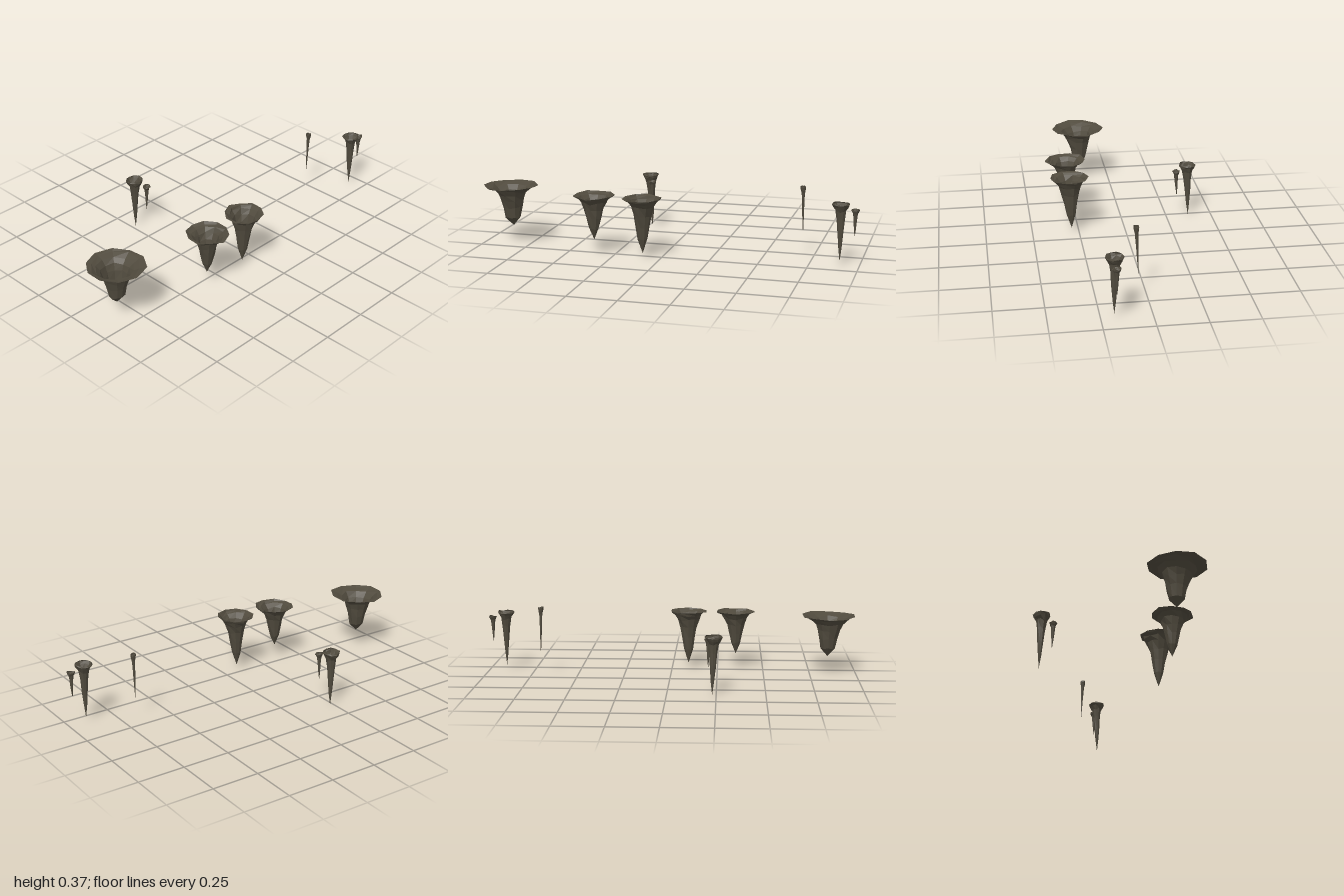
import * as THREE from 'three';

// Each profile: [fraction of height above the tip, fraction of rim radius]
const WIDE = [[0, 0], [0.2, 0.27], [0.45, 0.33], [0.65, 0.41], [0.8, 0.5], [0.91, 0.64], [0.97, 0.82], [1, 1]];
const MEDIUM = [[0, 0], [0.26, 0.24], [0.5, 0.35], [0.7, 0.45], [0.85, 0.58], [0.94, 0.75], [0.975, 0.88], [1, 1]];
const SLIM = [[0, 0], [0.25, 0.2], [0.5, 0.34], [0.72, 0.46], [0.87, 0.6], [0.94, 0.85], [0.98, 1], [1, 0.92]];

// Rim centre, rim radius, top height, tip position
const SPIKES = [
  { name: 'broadStalactite', profile: WIDE, rim: [-0.85, 0.175], r: 0.15, top: 0.32, tip: [-0.845, 0.1, 0.17] },
  { name: 'middleStalactite', profile: MEDIUM, rim: [-0.35, 0.295], r: 0.108, top: 0.32, tip: [-0.35, 0.085, 0.29] },
  { name: 'centreStalactite', profile: MEDIUM, rim: [-0.09, 0.297], r: 0.103, top: 0.32, tip: [-0.09, 0.03, 0.289] },
  { name: 'rearStalactite', profile: SLIM, rim: [-0.235, -0.363], r: 0.046, top: 0.305, tip: [-0.23, 0.003, -0.372] },
  { name: 'rearSmallStalactite', profile: SLIM, rim: [-0.208, -0.298], r: 0.021, top: 0.278, tip: [-0.208, 0.13, -0.303] },
  { name: 'needleStalactite', profile: SLIM, rim: [0.692, 0.053], r: 0.0145, top: 0.373, tip: [0.695, 0.12, 0.043] },
  { name: 'leftStalactite', profile: SLIM, rim: [0.903, 0.184], r: 0.045, top: 0.33, tip: [0.905, 0.03, 0.187] },
  { name: 'leftSmallStalactite', profile: SLIM, rim: [0.976, 0.183], r: 0.022, top: 0.302, tip: [0.975, 0.16, 0.183] },
];

// Small seeded generator
function seeded(seed) {
  let s = seed;
  return () => (s = (s * 16807) % 2147483647) / 2147483647;
}

// Open, hollow funnel of rough rings narrowing down to a point
function funnel({ profile, rim, r, top, tip }, seed) {
  const sides = 10, rings = profile.length;
  const random = seeded(seed);
  const height = top - tip[1];
  const points = profile.map(([h, w]) => new THREE.Vector2(w * r, h * height));
  const lathe = new THREE.LatheGeometry(points, sides);
  const jitter = Array.from({ length: sides * rings }, () => [random() - 0.5, random() - 0.5]);
  const p = lathe.attributes.position;
  for (let i = 0; i < p.count; i++) {
    const ring = i % rings;
    const side = Math.floor(i / rings) % sides;
    const [a, b] = jitter[side * rings + ring];
    const h = profile[ring][0];
    const k = 1 + a * 0.13;
    const lift = ring === 0 ? 0 : b * (ring > rings - 3 ? 0.008 : 0.05 * height);
    // The axis leans from the tip to the rim centre
    p.setXYZ(i,
      p.getX(i) * k + THREE.MathUtils.lerp(tip[0], rim[0], h),
      p.getY(i) + tip[1] + lift,
      p.getZ(i) * k + THREE.MathUtils.lerp(tip[2], rim[1], h));
  }
  const geometry = lathe.toNonIndexed();
  geometry.computeVertexNormals();
  return geometry;
}

export function createModel() {
  const stone = new THREE.MeshStandardMaterial({ color: 0x514b3e, flatShading: true, side: THREE.DoubleSide });
  stone.name = 'darkStone';
  const group = new THREE.Group();
  group.name = 'stalactites';
  SPIKES.forEach((spike, i) => {
    const mesh = new THREE.Mesh(funnel(spike, 1207 + i * 7919), stone);
    mesh.name = spike.name;
    group.add(mesh);
  });
  return group;
}
